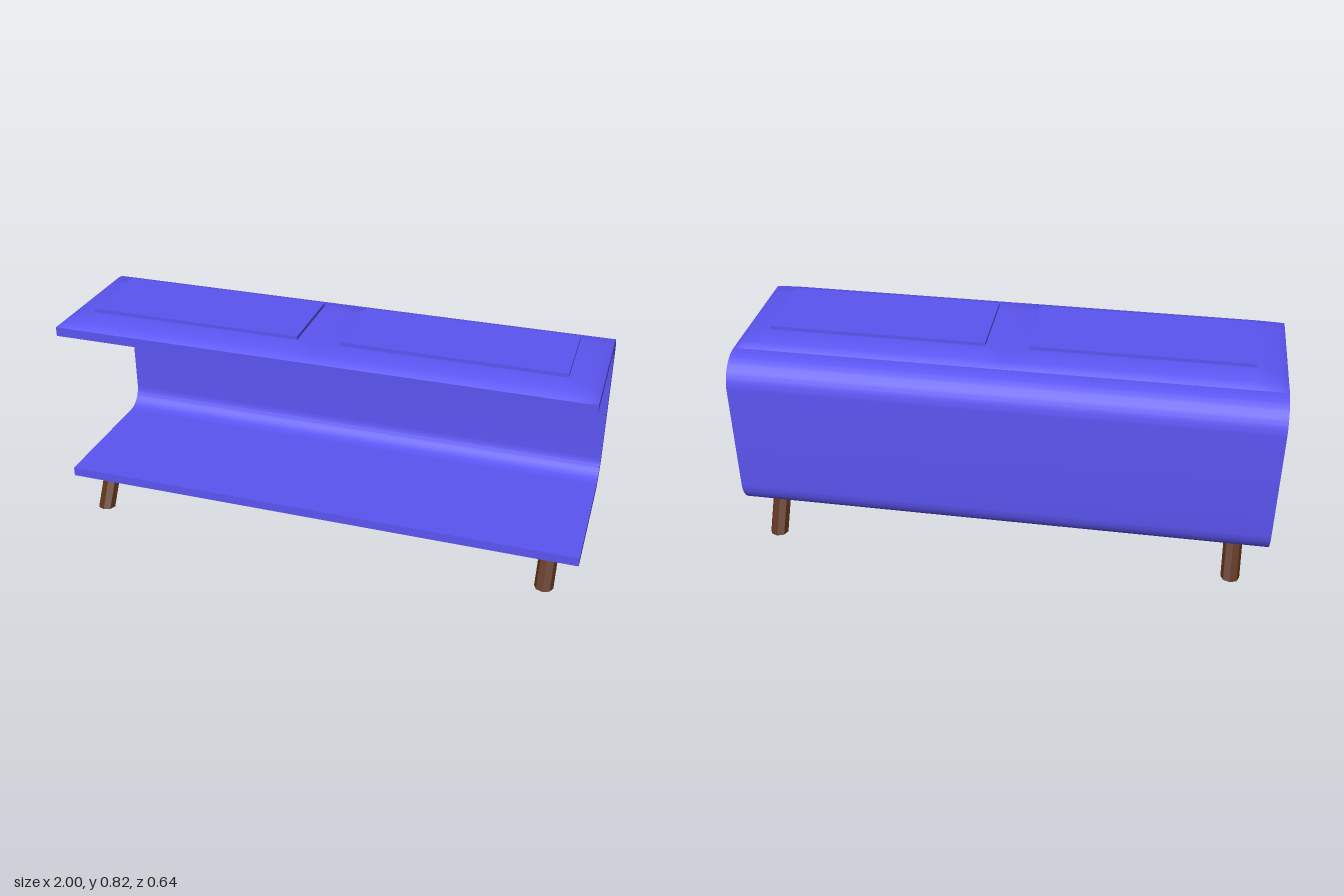
import * as THREE from 'three';
import { toCreasedNormals } from 'three/addons/utils/BufferGeometryUtils.js';

const fabric = new THREE.MeshStandardMaterial({ color: 0x5b54f0 });
const wood = new THREE.MeshStandardMaterial({ color: 0x5a3018 });

// C-shaped shell: profile drawn as (z, y), extruded along x
function makeShell() {
  const front = 0.3, centreZ = -0.205, low = 0.24, high = 0.66, q = Math.PI / 2;
  const s = new THREE.Shape();
  s.moveTo(front, 0.125);
  s.lineTo(centreZ, 0.125);
  s.absarc(centreZ, low, 0.115, -q, -2 * q, true);
  s.absarc(centreZ, high, 0.115, 2 * q, q, true);
  s.lineTo(front, 0.775);
  s.lineTo(front, 0.74);
  s.absarc(centreZ, high, 0.08, q, 2 * q, false);
  s.absarc(centreZ, low, 0.08, -2 * q, -q, false);
  s.lineTo(front, 0.16);
  s.closePath();
  const g = new THREE.ExtrudeGeometry(s, { depth: 2, bevelEnabled: false, curveSegments: 12 });
  g.translate(0, 0, -1).rotateY(-Math.PI / 2);
  return toCreasedNormals(g, 0.6);
}

// Padded top: height is the lower of two sloped sections, across x and across z
function makePadding() {
  const xs = [[-1, 0.775], [-0.97, 0.793], [-0.885, 0.812], [-0.08, 0.812], [0, 0.795],
    [0.08, 0.812], [0.885, 0.812], [0.97, 0.793], [1, 0.775]];
  const zs = [[-0.205, 0.775], [-0.18, 0.794], [-0.11, 0.812], [0.2, 0.812], [0.27, 0.795], [0.3, 0.775]];
  const g = new THREE.PlaneGeometry(1, 1, xs.length - 1, zs.length - 1);
  zs.forEach(([z, hz], j) => xs.forEach(([x, hx], i) => {
    g.attributes.position.setXYZ(j * xs.length + i, x, Math.min(hx, hz), z);
  }));
  g.computeVertexNormals();
  return g;
}

// Splayed leg: a cylinder sheared outwards, so both ends stay level
function makeLeg(side) {
  const height = 0.145;
  const g = new THREE.CylinderGeometry(0.035, 0.035, height, 8).translate(0, height / 2, 0);
  g.scale(1, 1, 0.93);
  const p = g.attributes.position;
  for (let i = 0; i < p.count; i++) {
    p.setZ(i, p.getZ(i) + side * (0.288 - 0.6 * p.getY(i)));
  }
  return toCreasedNormals(g, 0.5);
}

export function createModel() {
  const model = new THREE.Group();
  const add = (name, geometry, material) => {
    const mesh = new THREE.Mesh(geometry, material);
    mesh.name = name;
    model.add(mesh);
    return mesh;
  };

  add('shell', makeShell(), fabric);
  add('topPadding', makePadding(), fabric);

  // Raised flat panels on the padding
  for (const x of [-0.4825, 0.4825]) {
    const panel = add(x > 0 ? 'leftPanel' : 'rightPanel', new THREE.BoxGeometry(0.805, 0.025, 0.312), fabric);
    panel.position.set(x, 0.8125, 0.045);
  }

  for (const side of [1, -1]) {
    for (const x of [-0.875, 0.885]) {
      const name = (side > 0 ? 'front' : 'back') + (x > 0 ? 'Left' : 'Right') + 'Leg';
      add(name, makeLeg(side), wood).position.x = x;
    }
  }
  return model;
}
